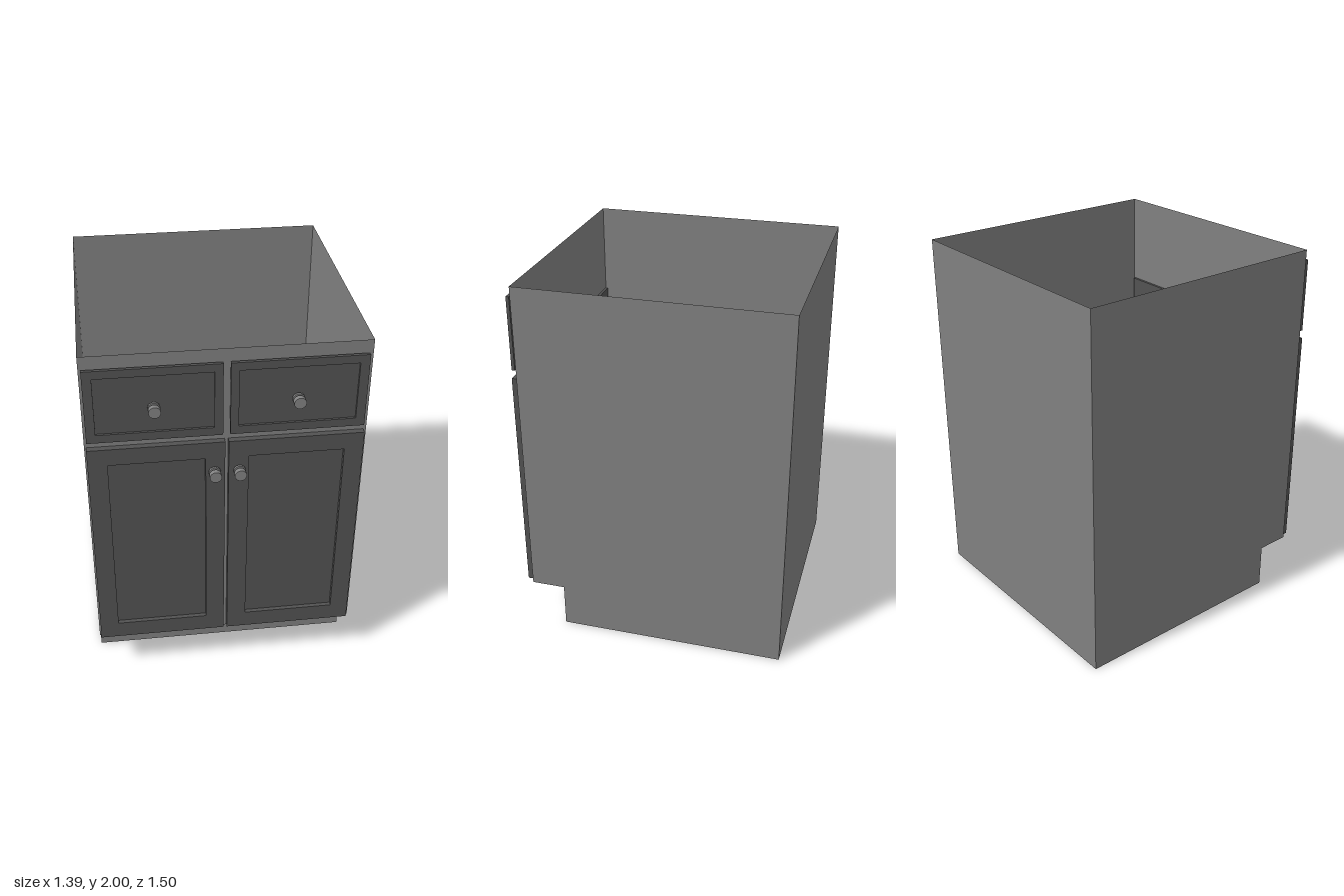
import * as THREE from 'three';

const bodyMat = new THREE.MeshStandardMaterial({ color: 0x808080, side: THREE.DoubleSide });
bodyMat.name = 'cabinet grey';
const frontMat = new THREE.MeshStandardMaterial({ color: 0x525252 });
frontMat.name = 'dark front grey';
const knobMat = new THREE.MeshStandardMaterial({ color: 0x828282 });
knobMat.name = 'knob grey';

const HALF_W = 0.697;
// Side outline as [z, y], from the top front edge round to the top back edge
const OUTLINE = [[0.66, 2], [0.66, 0.243], [0.476, 0.243], [0.476, 0], [-0.75, 0], [-0.75, 2]];

function addMesh(parent, name, geometry, material) {
  const mesh = new THREE.Mesh(geometry, material);
  mesh.name = name;
  parent.add(mesh);
  return mesh;
}

// Thin shell with a toe kick and an open top
function createCarcass() {
  const carcass = new THREE.Group();
  carcass.name = 'carcass';

  const positions = [];
  for (let i = 0; i < OUTLINE.length - 1; i++) {
    const [z0, y0] = OUTLINE[i];
    const [z1, y1] = OUTLINE[i + 1];
    const a = [-HALF_W, y0, z0], b = [-HALF_W, y1, z1];
    const c = [HALF_W, y1, z1], d = [HALF_W, y0, z0];
    positions.push(...a, ...b, ...c, ...a, ...c, ...d);
  }
  const wrap = new THREE.BufferGeometry();
  wrap.setAttribute('position', new THREE.Float32BufferAttribute(positions, 3));
  wrap.computeVertexNormals();
  addMesh(carcass, 'frontBottomAndBack', wrap, bodyMat);

  for (const side of [-1, 1]) {
    const shape = new THREE.Shape(OUTLINE.map(([z, y]) => new THREE.Vector2(-side * z, y)));
    const geometry = new THREE.ShapeGeometry(shape).rotateY(side * Math.PI / 2);
    geometry.translate(side * HALF_W, 0, 0);
    addMesh(carcass, side > 0 ? 'leftSide' : 'rightSide', geometry, bodyMat);
  }
  return carcass;
}

function rectangle(PathType, [x0, x1, y0, y1]) {
  return new PathType([
    new THREE.Vector2(x0, y0), new THREE.Vector2(x1, y0),
    new THREE.Vector2(x1, y1), new THREE.Vector2(x0, y1),
  ]).closePath();
}

// Raised frame around a recessed panel; rectangles are [x0, x1, y0, y1]
function createFront(name, outer, inner, back, front, recess) {
  const group = new THREE.Group();
  group.name = name;
  const shape = rectangle(THREE.Shape, outer);
  shape.holes.push(rectangle(THREE.Path, inner));
  const frame = new THREE.ExtrudeGeometry(shape, { depth: front - back, bevelEnabled: false });
  addMesh(group, 'frame', frame.translate(0, 0, back), frontMat);

  const [x0, x1, y0, y1] = inner;
  const depth = front - recess - back;
  const panel = new THREE.BoxGeometry(x1 - x0, y1 - y0, depth);
  panel.translate((x0 + x1) / 2, (y0 + y1) / 2, back + depth / 2);
  addMesh(group, 'panel', panel, frontMat);
  return group;
}

// Round knob: rosette, neck and head, as [name, radius, z start, z end]
function createKnob(name, x, y) {
  const knob = new THREE.Group();
  knob.name = name;
  const sections = [
    ['rosette', 0.031, 0.699, 0.711],
    ['neck', 0.016, 0.711, 0.723],
    ['head', 0.03, 0.723, 0.75],
  ];
  for (const [part, radius, z0, z1] of sections) {
    const geometry = new THREE.CylinderGeometry(radius, radius, z1 - z0, 20).rotateX(Math.PI / 2);
    addMesh(knob, part, geometry.translate(0, 0, (z0 + z1) / 2), knobMat);
  }
  knob.position.set(x, y, 0);
  return knob;
}

export function createModel() {
  const model = new THREE.Group();
  model.name = 'baseCabinet';
  model.add(createCarcass());

  // Doors
  model.add(createFront('rightDoor', [-0.688, -0.012, 0.257, 1.5], [-0.59, -0.109, 0.353, 1.407], 0.645, 0.692, 0.022));
  model.add(createFront('leftDoor', [0.006, 0.683, 0.257, 1.5], [0.107, 0.587, 0.353, 1.407], 0.645, 0.692, 0.022));

  // Drawer fronts, standing just clear of the carcass
  model.add(createFront('rightDrawer', [-0.684, -0.023, 1.543, 1.938], [-0.638, -0.065, 1.587, 1.895], 0.675, 0.692, 0.012));
  model.add(createFront('leftDrawer', [0.012, 0.676, 1.543, 1.938], [0.053, 0.63, 1.587, 1.895], 0.675, 0.692, 0.012));

  // Knobs
  model.add(createKnob('rightDrawerKnob', -0.355, 1.728));
  model.add(createKnob('leftDrawerKnob', 0.338, 1.728));
  model.add(createKnob('rightDoorKnob', -0.065, 1.33));
  model.add(createKnob('leftDoorKnob', 0.059, 1.33));

  return model;
}
